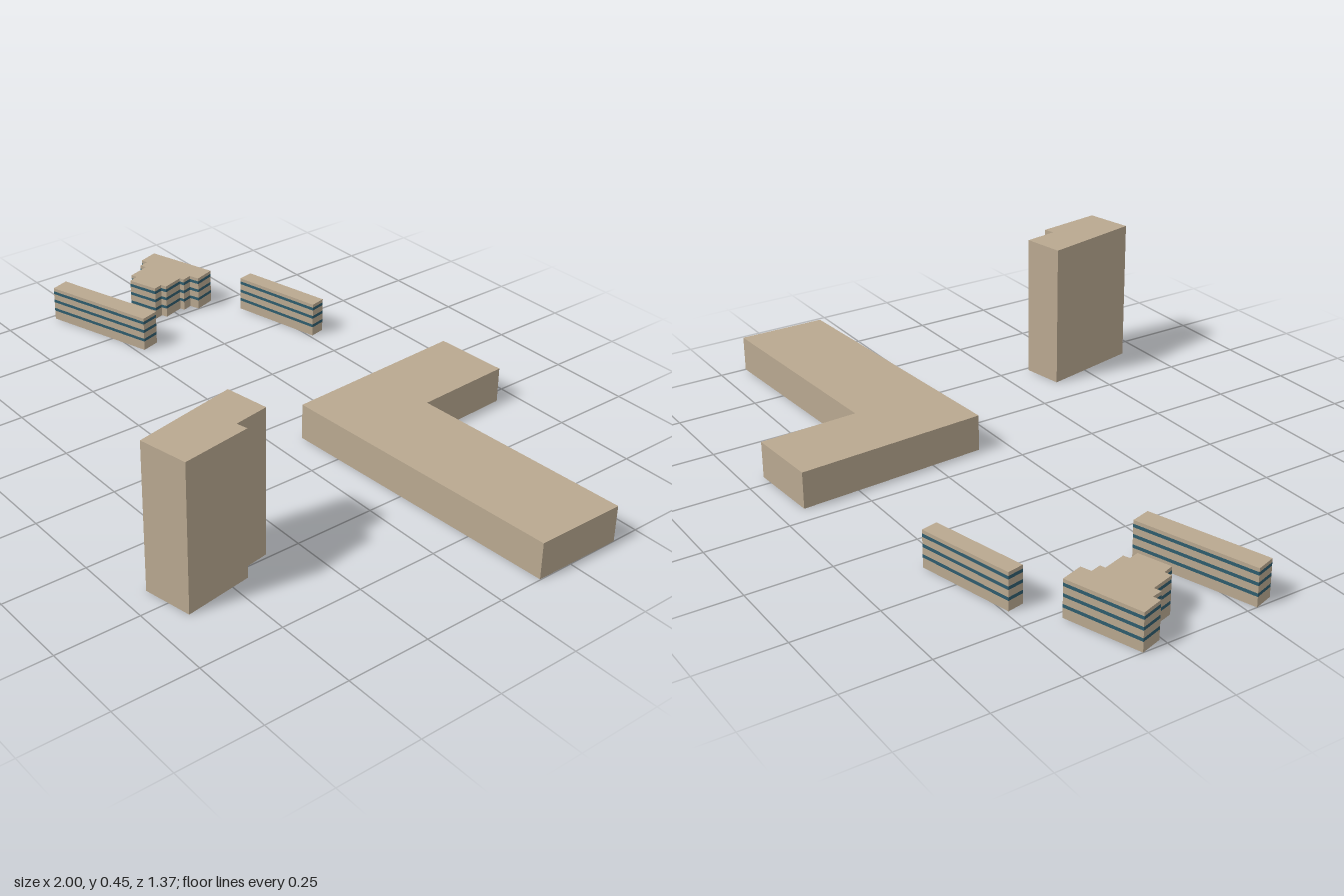
import * as THREE from 'three';

const wall = new THREE.MeshStandardMaterial({ color: 0xb9a890 });
const glass = new THREE.MeshStandardMaterial({ color: 0x2f5d6e });

// Prism standing on y0, from a footprint of [x, z] corners
function prism(name, footprint, y0, y1, material) {
  const shape = new THREE.Shape(footprint.map(([x, z]) => new THREE.Vector2(x, -z)));
  const geometry = new THREE.ExtrudeGeometry(shape, { depth: y1 - y0, bevelEnabled: false });
  geometry.rotateX(-Math.PI / 2);
  const mesh = new THREE.Mesh(geometry, material);
  mesh.position.y = y0;
  mesh.name = name;
  return mesh;
}

// Low block made of wall layers with flush window strips between them
function bandedBlock(name, footprint) {
  const group = new THREE.Group();
  group.name = name;
  const half = 0.005;
  let y = 0;
  for (const middle of [0.035, 0.066, 0.096]) {
    group.add(prism('wallLayer', footprint, y, middle - half, wall));
    group.add(prism('windowStrip', footprint, middle - half, middle + half, glass));
    y = middle + half;
  }
  group.add(prism('roofLayer', footprint, y, 0.112, wall));
  return group;
}

export function createModel() {
  const model = new THREE.Group();
  model.name = 'buildingComplex';

  // L-shaped low hall
  model.add(prism('hall', [
    [0.063, -0.675], [0.292, -0.688], [0.308, -0.38],
    [1, -0.415], [0.998, -0.14], [0.097, -0.088],
  ], 0, 0.112, wall));

  // Tower with a set-back corner
  model.add(prism('tower', [
    [0.358, 0.37], [0.487, 0.348], [0.505, 0.453],
    [0.538, 0.445], [0.57, 0.652], [0.425, 0.682],
  ], 0, 0.447, wall));

  // Two narrow banded wings
  model.add(bandedBlock('backWing', [
    [-0.676, -0.49], [-0.382, -0.56], [-0.371, -0.51], [-0.666, -0.441],
  ]));
  model.add(bandedBlock('frontWing', [
    [-1, 0.03], [-0.64, -0.083], [-0.623, -0.024], [-0.981, 0.088],
  ]));

  // Central banded block with stepped sides
  model.add(bandedBlock('steppedBlock', [
    [-1, -0.323], [-0.773, -0.396], [-0.751, -0.329], [-0.783, -0.318],
    [-0.773, -0.286], [-0.789, -0.281], [-0.767, -0.211], [-0.786, -0.204],
    [-0.777, -0.174], [-0.874, -0.142], [-0.885, -0.174], [-0.906, -0.168],
    [-0.928, -0.24], [-0.949, -0.233], [-0.957, -0.265], [-0.979, -0.258],
  ]));

  return model;
}
